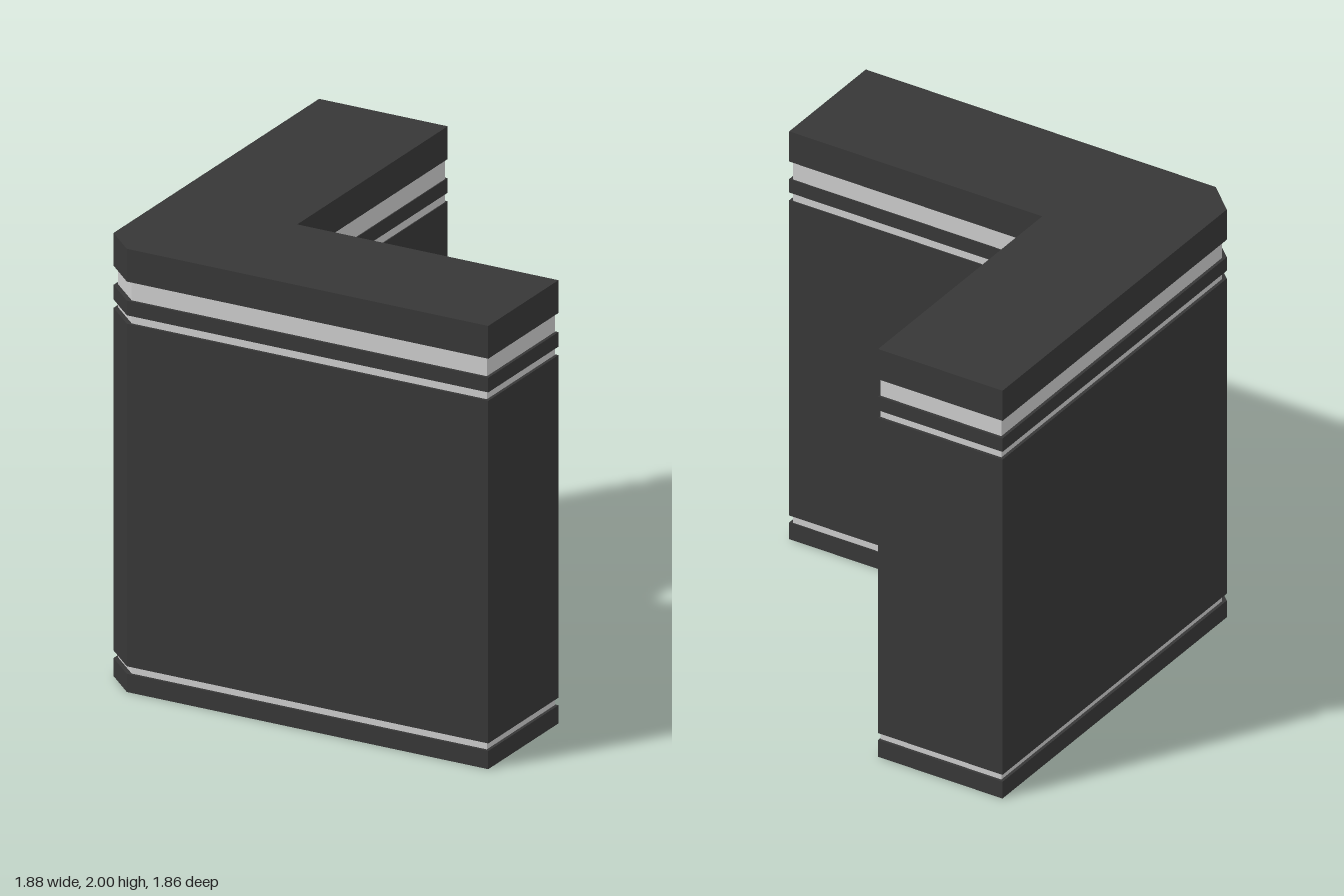
import * as THREE from 'three';

// L-shaped outlines in plan (x, z), with one chamfered outer corner
const outerPlan = [
  [-0.94, -0.93], [-0.32, -0.93], [-0.32, 0.338], [0.94, 0.338],
  [0.94, 0.93], [-0.803, 0.93], [-0.94, 0.803],
];
const groovePlan = [
  [-0.926, -0.917], [-0.325, -0.917], [-0.325, 0.344], [0.926, 0.344],
  [0.926, 0.917], [-0.787, 0.917], [-0.926, 0.789],
];

// Extrudes a plan outline between two heights
function slab(name, plan, bottom, top, material) {
  const shape = new THREE.Shape(plan.map(([x, z]) => new THREE.Vector2(x, z)));
  const geometry = new THREE.ExtrudeGeometry(shape, { depth: top - bottom, bevelEnabled: false });
  geometry.rotateX(Math.PI / 2).translate(0, top, 0);
  const mesh = new THREE.Mesh(geometry, material);
  mesh.name = name;
  return mesh;
}

export function createModel() {
  const group = new THREE.Group();
  group.name = 'cornerCounter';
  const dark = new THREE.MeshStandardMaterial({ color: 0x373737 });
  const light = new THREE.MeshStandardMaterial({ color: 0xcccccc });

  // Dark panels stacked from the floor up
  const panels = [
    ['plinth', 0, 0.082],
    ['body', 0.116, 1.662],
    ['trimBand', 1.7, 1.766],
    ['countertop', 1.852, 2],
  ];
  for (const [name, bottom, top] of panels) group.add(slab(name, outerPlan, bottom, top, dark));

  // Light recessed strips between the panels
  const strips = [
    ['lowerStrip', 0.082, 0.116],
    ['middleStrip', 1.662, 1.7],
    ['upperStrip', 1.766, 1.852],
  ];
  for (const [name, bottom, top] of strips) group.add(slab(name, groovePlan, bottom, top, light));

  return group;
}
